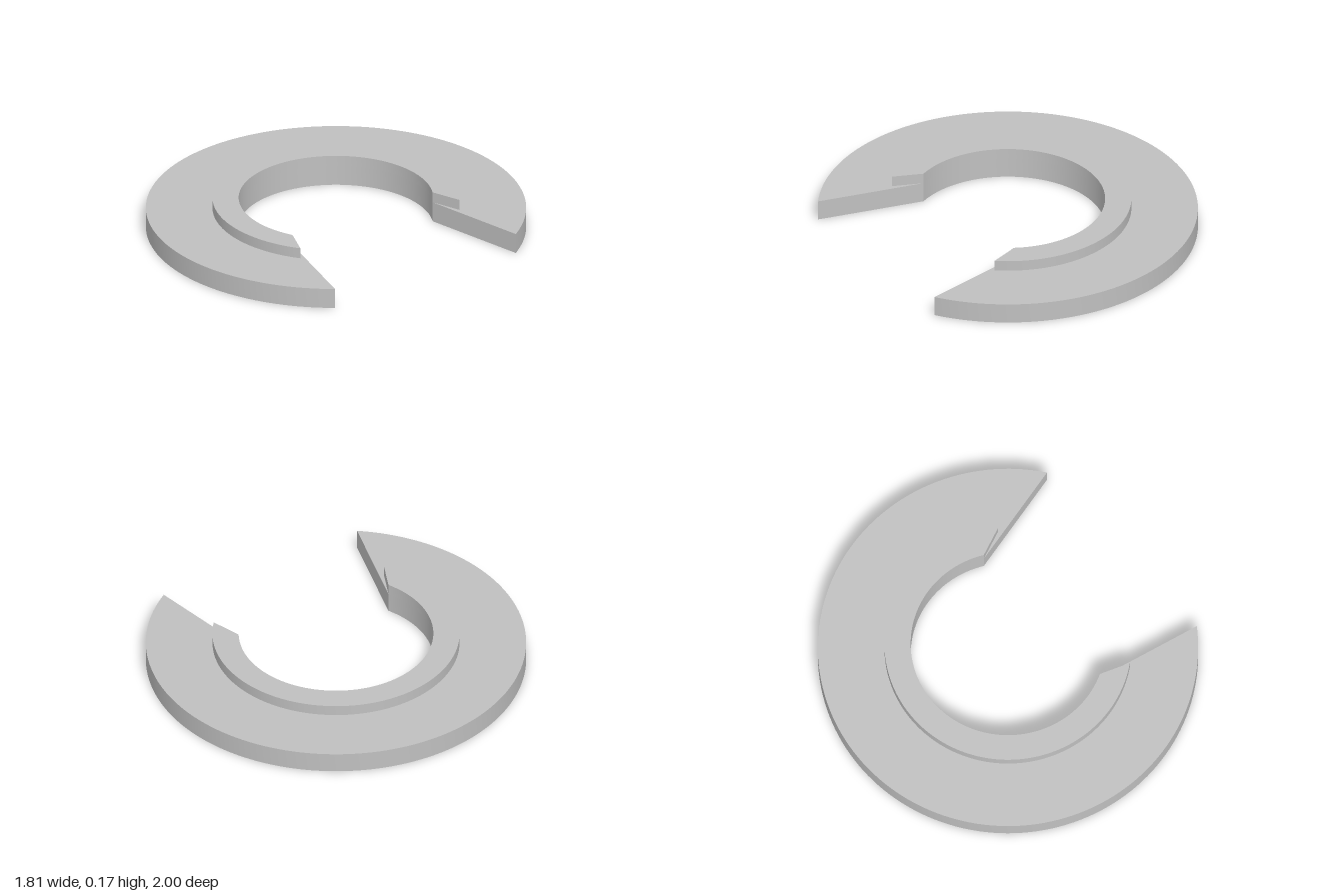
import * as THREE from 'three';
import { toCreasedNormals } from 'three/addons/utils/BufferGeometryUtils.js';

const CENTRE_X = 0.094;
const INNER_R = 0.512;
const INNER_ANGLE = 1.08; // half-opening of the bore

// C-shaped slab: arcs of differing opening angle joined by straight end faces
function openRing(outerR, outerAngle, height) {
  const shape = new THREE.Shape();
  shape.absarc(0, 0, outerR, outerAngle, Math.PI * 2 - outerAngle, false);
  shape.absarc(0, 0, INNER_R, Math.PI * 2 - INNER_ANGLE, INNER_ANGLE, true);
  shape.closePath();
  const geometry = new THREE.ExtrudeGeometry(shape, {
    depth: height, bevelEnabled: false, curveSegments: 64,
  });
  geometry.rotateX(-Math.PI / 2);
  return toCreasedNormals(geometry, 0.5);
}

export function createModel() {
  const group = new THREE.Group();
  group.name = 'slottedWasher';
  const grey = new THREE.MeshStandardMaterial({ color: 0xc0c0c0 });
  grey.name = 'plain grey';

  // Wide base plate
  const plate = new THREE.Mesh(openRing(1, 0.622, 0.11), grey);
  plate.name = 'basePlate';
  plate.position.set(CENTRE_X, 0, 0);

  // Raised collar around the bore
  const collar = new THREE.Mesh(openRing(0.65, 0.909, 0.058), grey);
  collar.name = 'raisedCollar';
  collar.position.set(CENTRE_X, 0.11, 0);

  group.add(plate, collar);
  return group;
}
